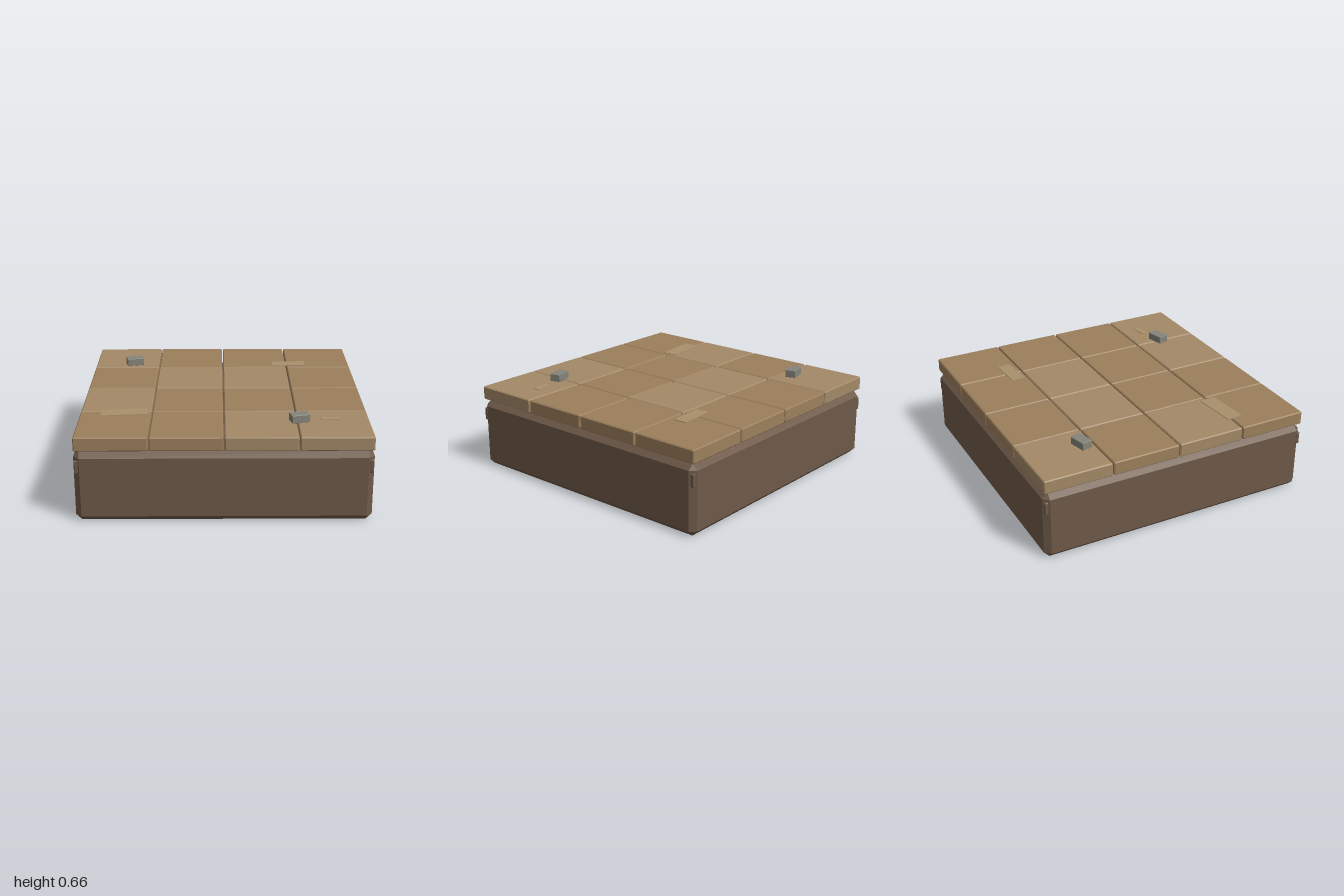
import * as THREE from 'three';
import { ConvexGeometry } from 'three/addons/geometries/ConvexGeometry.js';

// Box with all twelve edges cut at 45 degrees
function chamferBox(w, h, d, c) {
  const pts = [];
  for (const sx of [-1, 1]) for (const sy of [-1, 1]) for (const sz of [-1, 1]) {
    const x = w / 2, y = h / 2, z = d / 2;
    pts.push(
      new THREE.Vector3(sx * x, sy * (y - c), sz * (z - c)),
      new THREE.Vector3(sx * (x - c), sy * y, sz * (z - c)),
      new THREE.Vector3(sx * (x - c), sy * (y - c), sz * z));
  }
  return new ConvexGeometry(pts);
}

const material = (color) => new THREE.MeshStandardMaterial({ color, flatShading: true });

export function createModel() {
  const model = new THREE.Group();
  model.name = 'pavedFloorBlock';

  const earth = material(0x6e5a49);
  const tileDark = material(0x9c7f5c);
  const tileLight = material(0xa38967);
  const patchMat = material(0xa8906c);
  const stoneMat = material(0x85847a);

  const add = (parent, name, geometry, mat, x, y, z, turn = 0) => {
    const mesh = new THREE.Mesh(geometry, mat);
    mesh.name = name;
    mesh.position.set(x, y, z);
    mesh.rotation.y = turn;
    parent.add(mesh);
  };

  // Foundation block
  add(model, 'foundation', chamferBox(2, 0.5, 2, 0.04), earth, 0, 0.25, 0);

  // Small pegs on the four vertical corners
  const pegGeo = chamferBox(0.026, 0.09, 0.026, 0.004);
  for (const sx of [-1, 1]) for (const sz of [-1, 1]) {
    add(model, 'cornerPeg', pegGeo, earth, sx * 0.981, 0.395, sz * 0.981);
  }

  // Four by four paving; 1 marks a lighter tile, rows run from back to front
  const tones = ['1000', '0110', '1000', '0011'];
  const paving = new THREE.Group();
  paving.name = 'paving';
  model.add(paving);
  const tileGeo = chamferBox(0.492, 0.097, 0.492, 0.007);
  tones.forEach((row, r) => [...row].forEach((tone, c) => {
    add(paving, 'tile', tileGeo, tone === '1' ? tileLight : tileDark,
      -0.75 + c * 0.5, 0.5575, -0.75 + r * 0.5);
  }));

  // Thin worn patches: x, z, width, depth, turn
  for (const [x, z, w, d, turn] of [
    [-0.69, 0.515, 0.323, 0.116, 0.09],
    [0.517, -0.585, 0.26, 0.098, 0.06],
    [0.733, 0.648, 0.13, 0.045, 0.1],
  ]) {
    add(model, 'wornPatch', new THREE.BoxGeometry(w, 0.008, d), patchMat, x, 0.606, z, turn);
  }

  // Loose stones
  const stoneGeo = chamferBox(0.128, 0.056, 0.08, 0.003);
  for (const [x, z] of [[-0.695, -0.587], [0.516, 0.69]]) {
    add(model, 'looseStone', stoneGeo, stoneMat, x, 0.633, z, 0.25);
  }

  return model;
}
